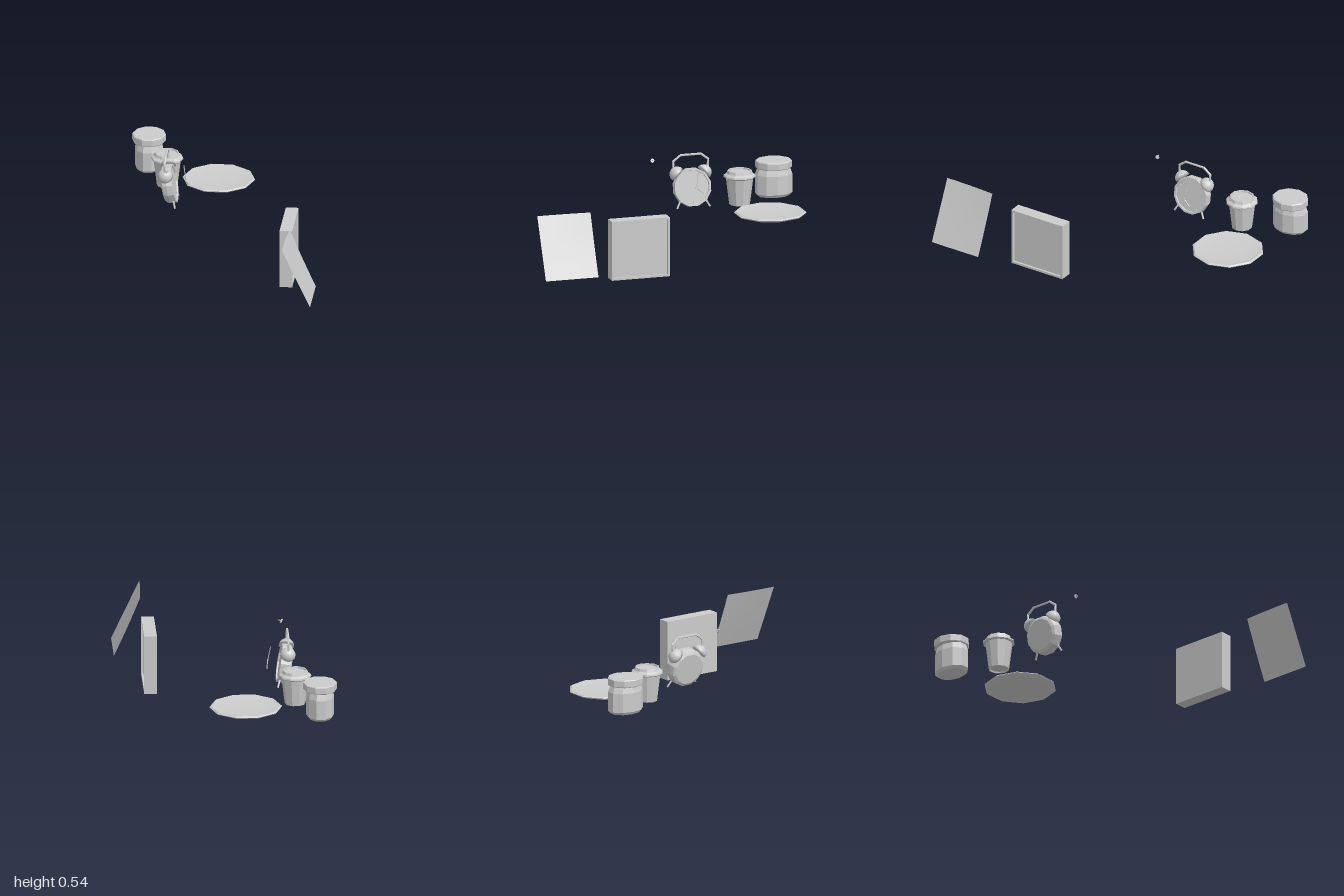
import * as THREE from 'three';

const flat = new THREE.MeshStandardMaterial({ color: 0xcccccc, flatShading: true });
const smooth = new THREE.MeshStandardMaterial({ color: 0xcccccc });
const thin = new THREE.MeshStandardMaterial({ color: 0xcccccc, side: THREE.DoubleSide });

function add(parent, name, geometry, material = flat, x = 0, y = 0, z = 0) {
  const m = new THREE.Mesh(geometry, material);
  m.name = name;
  m.position.set(x, y, z);
  parent.add(m);
  return m;
}

function group(parent, name, x = 0, y = 0, z = 0) {
  const g = new THREE.Group();
  g.name = name;
  g.position.set(x, y, z);
  parent.add(g);
  return g;
}

// Turned shape with corners on the x axis; profile runs from the bottom centre up
function turned(profile, sides = 10) {
  const g = new THREE.LatheGeometry(profile.map(p => new THREE.Vector2(...p)), sides);
  return g.rotateY(Math.PI / sides);
}

// Straight rod between two points
function rod(parent, name, a, b, r, sides = 6) {
  const p = new THREE.Vector3(...a), q = new THREE.Vector3(...b);
  const d = q.clone().sub(p);
  const m = add(parent, name, new THREE.CylinderGeometry(r, r, d.length(), sides));
  m.position.copy(p).add(q).multiplyScalar(0.5);
  m.quaternion.setFromUnitVectors(new THREE.Vector3(0, 1, 0), d.normalize());
  return m;
}

function buildJar(root) {
  const jar = group(root, 'jar', -0.556, 0.184, -0.884);
  const body = turned([[0, 0], [0.075, 0], [0.088, 0.018], [0.088, 0.14], [0.076, 0.185], [0, 0.185]]);
  add(jar, 'jarBody', body.scale(1, 1, 1.36));
  const lid = turned([[0, 0.181], [0.103, 0.181], [0.106, 0.186], [0.106, 0.224], [0.102, 0.229], [0, 0.229]]);
  add(jar, 'jarLid', lid.scale(1, 1, 1.1));
}

function buildCup(root) {
  const cup = group(root, 'cup', -0.414, 0.184, -0.615);
  add(cup, 'cupBody', turned([[0, 0.008], [0.056, 0.008], [0.058, 0], [0.065, 0], [0.087, 0.178], [0, 0.178]]));
  add(cup, 'cupLid', turned([[0, 0.172], [0.096, 0.172], [0.102, 0.178], [0.1, 0.188], [0.082, 0.2],
    [0.076, 0.218], [0.068, 0.218], [0.066, 0.208], [0, 0.208]]));
}

function buildPlate(root) {
  const plate = group(root, 'plate', -0.1, 0.182, -0.715);
  add(plate, 'plateUnderside', turned([[0, 0], [0.19, 0], [0.222, 0.011], [0.228, 0.018], [0.217, 0.026]]));
  add(plate, 'plateTop', turned([[0.217, 0.026], [0.18, 0.018], [0.1, 0.014], [0, 0.013]]), smooth);
}

function buildClock(root) {
  const clock = group(root, 'alarmClock');
  const tilted = group(clock, 'clockHead', -0.366, 0.332, -0.283);
  tilted.rotation.z = THREE.MathUtils.degToRad(10);

  // Case with a raised rim around the dial, facing +x
  const shell = turned([[0, -0.036], [0.1, -0.036], [0.117, -0.026], [0.124, 0], [0.122, 0.036],
    [0.109, 0.036], [0.107, 0.026], [0, 0.026]], 12);
  add(tilted, 'clockCase', shell.rotateZ(-Math.PI / 2));

  for (const s of [-1, 1]) {
    // Bell dome, closed underneath, pointing outward
    const dome = [[0, 0], [0.049, 0]];
    for (let i = 1; i <= 5; i++) {
      const a = i * Math.PI / 10;
      dome.push([Math.max(0, 0.049 * Math.cos(a)), 0.049 * Math.sin(a)]);
    }
    const bell = add(tilted, 'bell', turned(dome, 12), smooth, 0, 0.087, s * 0.087);
    bell.rotation.x = s * Math.PI / 4;
    // Legs
    rod(tilted, 'leg', [0.02, -0.08, s * 0.082], [0.026, -0.128, s * 0.108], 0.006);
  }

  // Hour marks
  for (let i = 0; i < 12; i++) {
    const a = i * Math.PI / 6;
    const mark = add(tilted, 'hourMark', new THREE.BoxGeometry(0.003, 0.01, 0.003), flat,
      0.027, 0.098 * Math.cos(a), 0.098 * Math.sin(a));
    mark.rotation.x = a;
  }

  // Hands stand well clear of the dial
  const hands = group(tilted, 'hands', 0.109, 0, 0);
  rod(hands, 'minuteHand', [0, -0.005, 0], [0, 0.103, -0.018], 0.003, 4);
  rod(hands, 'hourHand', [0, 0.005, 0.004], [0, -0.037, -0.046], 0.003, 4);
  add(hands, 'handPivot', new THREE.CylinderGeometry(0.007, 0.007, 0.007, 8).rotateZ(Math.PI / 2));

  // Carrying handle
  const path = [[0.112, 0.45], [0.115, 0.5], [0.067, 0.537], [-0.067, 0.537], [-0.115, 0.5], [-0.112, 0.45]]
    .map(([z, y]) => [-0.384, y, -0.284 + z]);
  const handle = group(clock, 'handle');
  for (let i = 0; i < path.length - 1; i++) {
    rod(handle, 'handleBar', path[i], path[i + 1], 0.0075);
    if (i) add(handle, 'handleJoint', new THREE.SphereGeometry(0.0075, 6, 4), flat, ...path[i]);
  }
}

// Small loose winding key
function buildKey(root) {
  const key = group(root, 'windingKey', -0.355, 0.525, -0.024);
  rod(key, 'keyStem', [-0.006, 0, 0], [0.016, 0.006, 0], 0.003);
  rod(key, 'keyWing', [-0.005, 0, 0], [-0.01, 0.011, 0], 0.004);
  rod(key, 'keyWing', [-0.005, 0, 0], [0.001, -0.014, 0], 0.004);
  add(key, 'keyKnob', new THREE.CylinderGeometry(0.013, 0.013, 0.004, 8).rotateZ(Math.PI / 2 + 0.4));
}

function buildFrame(root) {
  const frame = group(root, 'pictureFrame', 0.451, 0.192, 0.324);
  const h = 0.19, b = 0.176;
  const square = (Type, r) => new Type([[-r, -r], [r, -r], [r, r], [-r, r]].map(p => new THREE.Vector2(...p)));
  const shape = square(THREE.Shape, h);
  shape.holes.push(square(THREE.Path, b));
  // Border, open towards +x
  const border = new THREE.ExtrudeGeometry(shape, { depth: 0.08, bevelEnabled: false });
  add(frame, 'frameBorder', border.translate(0, 0, -0.04).rotateY(Math.PI / 2));
  add(frame, 'framePanel', new THREE.BoxGeometry(0.066, 2 * b, 2 * b), flat, -0.0069);
}

// Leaning sheet with one slightly curled upper corner
function buildSheet(root) {
  const g = new THREE.PlaneGeometry(1, 1, 4, 4);
  const p = g.attributes.position;
  for (let i = 0; i < p.count; i++) {
    const u = p.getX(i) + 0.5, v = p.getY(i) + 0.5;
    const curl = 0.014 * u * u * v * v - 0.006 * Math.sin(Math.PI * u) * (1 - v) * v;
    p.setXYZ(i, 0.654 - 0.177 * v + curl, 0.077 + 0.378 * v, 1 - 0.345 * u);
  }
  g.computeVertexNormals();
  add(root, 'leaningSheet', g, thin);
}

export function createModel() {
  const root = new THREE.Group();
  root.name = 'deskItems';
  [buildJar, buildCup, buildPlate, buildClock, buildKey, buildFrame, buildSheet].forEach(build => build(root));
  return root;
}
